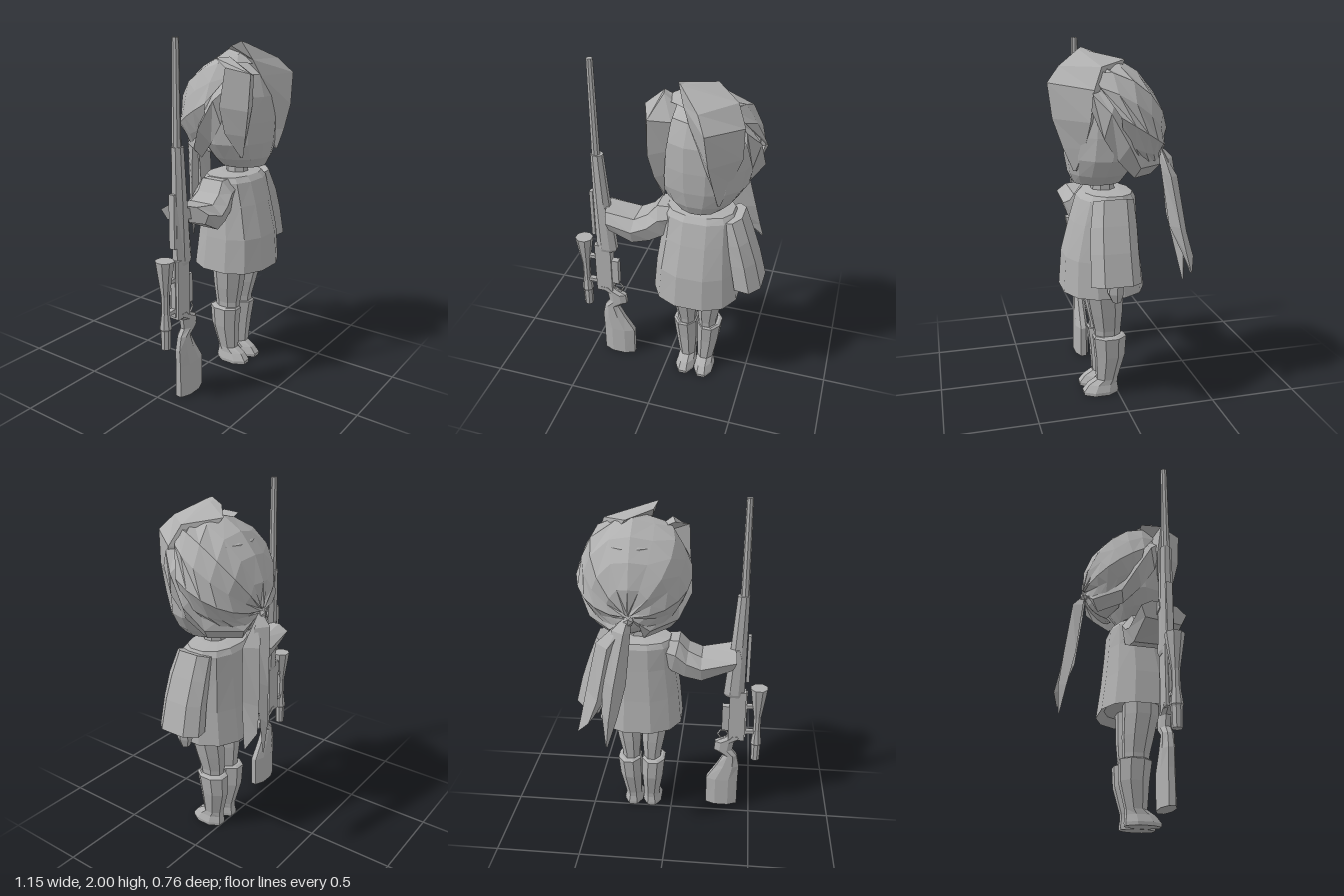
import * as THREE from 'three';

const grey = new THREE.MeshStandardMaterial({ color: 0xb0b0b0, side: THREE.DoubleSide });
grey.name = 'grey';

// Skin a list of equal-length point loops with triangles that face outward
function loft(rings, capStart = true, capEnd = true) {
  const tris = [], n = rings[0].length;
  for (let i = 0; i < rings.length - 1; i++) {
    for (let j = 0; j < n; j++) {
      const k = (j + 1) % n, a = rings[i], b = rings[i + 1];
      tris.push([a[j], b[j], b[k]], [a[j], b[k], a[k]]);
    }
  }
  const middle = r => [0, 1, 2].map(d => r.reduce((s, p) => s + p[d], 0) / n);
  const cap = (r, flip) => {
    const c = middle(r);
    r.forEach((p, j) => {
      const q = r[(j + 1) % n];
      tris.push(flip ? [c, q, p] : [c, p, q]);
    });
  };
  if (capStart) cap(rings[0], false);
  if (capEnd) cap(rings[rings.length - 1], true);

  // A negative enclosed volume means the loops ran the other way round
  const o = new THREE.Vector3(...middle(rings[rings.length - 1]));
  const volume = tris.reduce((s, t) => {
    const [a, b, c] = t.map(p => new THREE.Vector3(...p).sub(o));
    return s + a.dot(b.cross(c));
  }, 0);
  if (volume < 0) tris.forEach(t => t.reverse());
  const g = new THREE.BufferGeometry();
  g.setAttribute('position', new THREE.Float32BufferAttribute(tris.flat(2), 3));
  return g;
}

// Horizontal loops from rows of [y, centreX, radiusX, centreZ, radiusZ]; a power below 1 squares them off
const stack = (rows, n, power = 1) => {
  const bend = v => Math.sign(v) * Math.abs(v) ** power;
  return loft(rows.map(([y, cx, rx, cz, rz]) =>
    Array.from({ length: n }, (_, i) => {
      const a = (i + 0.5) / n * Math.PI * 2;
      return [cx + rx * bend(Math.sin(a)), y, cz + rz * bend(Math.cos(a))];
    })));
};

// Limb loops from rows of [x, y, tilt, halfHeight, centreZ, halfDepth, skew];
// tilt turns the loop in the xy plane, skew shifts its front edge along x
const limb = rows => loft(rows.map(([x, y, t, h, cz, d, skew = 0]) =>
  [[1, 0.55], [1, -0.55], [0.3, -1], [-0.8, -0.8], [-0.8, 0.8], [0.3, 1]].map(([u, v]) =>
    [x + Math.cos(t) * h * u + skew * v, y + Math.sin(t) * h * u, cz + d * v])));

const faceted = g => {
  const f = g.index ? g.toNonIndexed() : g;
  f.computeVertexNormals();
  return f;
};

export function createModel() {
  const model = new THREE.Group();
  const add = (name, geo, x = 0, y = 0, z = 0) => {
    const m = new THREE.Mesh(faceted(geo), grey);
    m.name = name;
    m.position.set(x, y, z);
    model.add(m);
    return m;
  };

  // Head and neck
  add('head', stack([[1.255, 0.2, 0.13, 0.105, 0.135], [1.31, 0.2, 0.19, 0.1, 0.165], [1.4, 0.2, 0.25, 0.08, 0.2],
    [1.52, 0.2, 0.265, 0.06, 0.225], [1.66, 0.2, 0.265, 0.05, 0.23], [1.78, 0.2, 0.22, 0.04, 0.2],
    [1.85, 0.2, 0.1, 0.03, 0.1]], 14));
  add('neck', stack([[1.15, 0.19, 0.07, 0.07, 0.07], [1.3, 0.19, 0.06, 0.07, 0.06]], 8));

  // Hair cap: panels sweeping from the tie at the back to a jagged hairline
  const N = 16, rows = 6, caps = [];
  for (let r = 0; r <= rows; r++) {
    caps.push(Array.from({ length: N }, (_, j) => {
      const a = j / N * Math.PI * 2, s = Math.sin(a);
      const t = (0.03 + 0.97 * r / rows) * (106 + 50 * s + (j % 2 ? 4 : -4)) * Math.PI / 180;
      const k = j % 2 ? 0.97 : 1.02;
      const y = (-0.5 * Math.cos(t) + 0.866 * Math.sin(t) * s) * k;
      const z = (-0.866 * Math.cos(t) - 0.5 * Math.sin(t) * s) * k;
      return [0.2 + 0.316 * k * Math.sin(t) * Math.cos(a), 1.6 + 0.31 * y, 0.255 * z + 0.07 * y];
    }));
  }
  add('hairCap', loft(caps, true, false));

  // Fringe locks falling on each side of the face
  add('rightFringe', loft([
    [[-0.02, 1.87, 0.06], [0.0, 1.88, 0.14], [0.07, 1.83, 0.14], [0.05, 1.84, 0.06]],
    [[-0.09, 1.83, 0.17], [-0.04, 1.8, 0.3], [0.07, 1.78, 0.25], [0.02, 1.8, 0.14]],
    [[-0.1, 1.62, 0.14], [-0.045, 1.6, 0.29], [0.045, 1.62, 0.26], [0, 1.62, 0.16]],
    [[-0.06, 1.47, 0.15], [-0.02, 1.46, 0.26], [0.03, 1.47, 0.24], [0, 1.48, 0.17]],
    [[0.015, 1.33, 0.21], [0.02, 1.33, 0.22], [0.025, 1.33, 0.21], [0.02, 1.33, 0.2]]]));
  add('leftFringe', loft([
    [[0.08, 1.96, 0.16], [0.1, 1.95, 0.18], [0.13, 1.94, 0.13], [0.1, 1.93, 0.08]],
    [[0.12, 1.86, 0.21], [0.22, 1.87, 0.31], [0.38, 1.87, 0.12], [0.24, 1.9, -0.04]],
    [[0.16, 1.77, 0.24], [0.27, 1.79, 0.38], [0.43, 1.76, 0.17], [0.34, 1.76, 0.05]],
    [[0.22, 1.63, 0.26], [0.29, 1.61, 0.36], [0.43, 1.6, 0.19], [0.36, 1.62, 0.1]],
    [[0.28, 1.46, 0.24], [0.31, 1.46, 0.31], [0.38, 1.46, 0.21], [0.34, 1.46, 0.17]],
    [[0.32, 1.34, 0.25], [0.325, 1.34, 0.26], [0.335, 1.34, 0.25], [0.325, 1.34, 0.24]]]));

  // Side locks sweeping back, mirrored about the head
  for (const s of [-1, 1]) {
    const X = x => 0.2 + s * x;
    add(s > 0 ? 'leftSideLock' : 'rightSideLock', loft([
      [[X(0.18), 1.78, 0.16], [X(0.24), 1.74, 0.18], [X(0.25), 1.66, 0.19]],
      [[X(0.25), 1.7, 0.07], [X(0.305), 1.65, 0.1], [X(0.27), 1.52, 0.13]],
      [[X(0.25), 1.54, -0.02], [X(0.32), 1.49, 0.01], [X(0.25), 1.4, 0.05]],
      [[X(0.19), 1.42, -0.13], [X(0.25), 1.36, -0.07], [X(0.2), 1.3, -0.05]],
      [[X(0.05), 1.4, -0.24], [X(0.11), 1.35, -0.22], [X(0.07), 1.29, -0.18]]]));
  }

  // Hair tie and two ponytail ribbons
  add('hairTie', new THREE.IcosahedronGeometry(0.032, 0), 0.2, 1.42, -0.25);
  add('longPonytail', loft([
    [[0.18, 1.44, -0.25], [0.23, 1.43, -0.25], [0.21, 1.41, -0.28]],
    [[0.19, 1.36, -0.26], [0.29, 1.37, -0.27], [0.22, 1.37, -0.32]],
    [[0.22, 1.05, -0.29], [0.34, 1.1, -0.32], [0.28, 1.06, -0.355]],
    [[0.27, 0.85, -0.33], [0.35, 0.9, -0.35], [0.31, 0.86, -0.375]],
    [[0.325, 0.68, -0.36], [0.335, 0.69, -0.36], [0.33, 0.69, -0.365]]]));
  add('widePonytail', loft([
    [[0.2, 1.43, -0.24], [0.24, 1.42, -0.25], [0.22, 1.39, -0.27]],
    [[0.24, 1.3, -0.25], [0.38, 1.29, -0.26], [0.31, 1.28, -0.32]],
    [[0.31, 1.0, -0.28], [0.44, 1.02, -0.3], [0.37, 0.98, -0.36]],
    [[0.4, 0.86, -0.33], [0.47, 0.87, -0.33], [0.42, 0.85, -0.385]],
    [[0.48, 0.78, -0.345], [0.49, 0.78, -0.35], [0.485, 0.78, -0.355]]]));

  // Flared coat
  add('coat', stack([[0.69, 0.185, 0.2, 0.08, 0.19], [0.65, 0.187, 0.255, 0.08, 0.235],
    [0.85, 0.187, 0.238, 0.085, 0.215], [1.04, 0.19, 0.216, 0.07, 0.182], [1.17, 0.19, 0.208, 0.055, 0.158],
    [1.2, 0.19, 0.19, 0.05, 0.135], [1.21, 0.19, 0.09, 0.06, 0.08]], 12, 0.85));

  // Sleeves and hands
  add('rightSleeve', limb([[0.05, 1.12, 1.5, 0.075, 0.06, 0.1], [-0.025, 1.1, 1.8, 0.1, 0.06, 0.125],
    [-0.09, 1.05, 1.7, 0.085, 0.07, 0.13], [-0.18, 1.02, 1.55, 0.075, 0.08, 0.14],
    [-0.35, 1.07, 1.8, 0.055, 0.095, 0.138, 0.03]]));
  add('leftSleeve', limb([[0.37, 1.18, 0.3, 0.065, 0.06, 0.11], [0.42, 1.05, 0.3, 0.065, 0.07, 0.125],
    [0.455, 0.92, 0.2, 0.075, 0.075, 0.13], [0.49, 0.755, 0.15, 0.082, 0.075, 0.137]]));
  add('leftHand', stack([[0.8, 0.48, 0.04, 0.07, 0.04], [0.7, 0.475, 0.04, 0.07, 0.045], [0.65, 0.475, 0.025, 0.065, 0.025]], 6));
  add('rightHand', new THREE.BoxGeometry(0.13, 0.06, 0.08), -0.34, 1.08, 0.09).rotation.z = -0.25;

  // Legs and boots, mirrored about the coat centre
  for (const s of [-1, 1]) {
    const side = s > 0 ? 'left' : 'right';
    const X = r => r.map(([y, x, ...rest]) => [y, 0.187 + s * x, ...rest]);
    add(side + 'Leg', stack(X([[0.72, 0.09, 0.088, 0.08, 0.108], [0.62, 0.086, 0.084, 0.08, 0.108],
      [0.5, 0.073, 0.074, 0.068, 0.095], [0.4, 0.066, 0.058, 0.06, 0.08], [0.34, 0.066, 0.055, 0.06, 0.076]]), 8));
    add(side + 'Boot', stack(X([[0.37, 0.076, 0.06, 0.055, 0.085], [0.36, 0.076, 0.076, 0.05, 0.1],
      [0.24, 0.069, 0.07, 0.045, 0.09], [0.09, 0.058, 0.053, 0.06, 0.065], [0.06, 0.058, 0.055, 0.085, 0.09],
      [0.02, 0.06, 0.064, 0.098, 0.11], [0, 0.06, 0.062, 0.098, 0.108]]), 8));
  }

  // Rifle: barrel, fore-end, receiver and small fittings
  const gz = 0.093;
  add('barrel', new THREE.CylinderGeometry(0.019, 0.025, 0.56, 8), -0.411, 1.72, gz);
  add('foreEnd', stack([[1.45, -0.405, 0.037, gz, 0.034], [1.15, -0.392, 0.05, gz, 0.04],
    [0.82, -0.375, 0.068, gz, 0.042], [0.8, -0.38, 0.06, gz, 0.035]], 8));
  add('foldedRest', new THREE.BoxGeometry(0.02, 0.3, 0.035), -0.452, 1.055, gz);
  add('receiver', new THREE.BoxGeometry(0.1, 0.34, 0.06), -0.4, 0.665, gz);
  add('magazine', new THREE.BoxGeometry(0.05, 0.17, 0.04), -0.333, 0.645, gz);
  add('triggerGuard', new THREE.TorusGeometry(0.032, 0.007, 4, 6), -0.318, 0.52, gz);

  // Butt stock narrowing into an angled grip
  add('stock', stack([[0, -0.322, 0.109, gz, 0.045], [0.19, -0.322, 0.109, gz, 0.043], [0.29, -0.355, 0.077, gz, 0.038],
    [0.37, -0.368, 0.045, gz, 0.034], [0.41, -0.322, 0.062, gz, 0.034], [0.47, -0.33, 0.064, gz, 0.034],
    [0.5, -0.385, 0.058, gz, 0.034], [0.52, -0.4, 0.05, gz, 0.034]], 8));

  // Scope and its mounts
  const scope = [[0, 0.35], [0.028, 0.35], [0.03, 0.46], [0.036, 0.47], [0.024, 0.56], [0.024, 0.66],
    [0.05, 0.83], [0.054, 0.86], [0, 0.86]];
  add('scope', new THREE.LatheGeometry(scope.map(p => new THREE.Vector2(...p)), 8, Math.PI / 8), -0.525, 0, gz);
  for (const y of [0.55, 0.73]) add('scopeMount', new THREE.BoxGeometry(0.09, 0.022, 0.03), -0.475, y, gz);
  add('scopeRail', new THREE.BoxGeometry(0.015, 0.32, 0.03), -0.45, 0.67, gz);

  return model;
}
